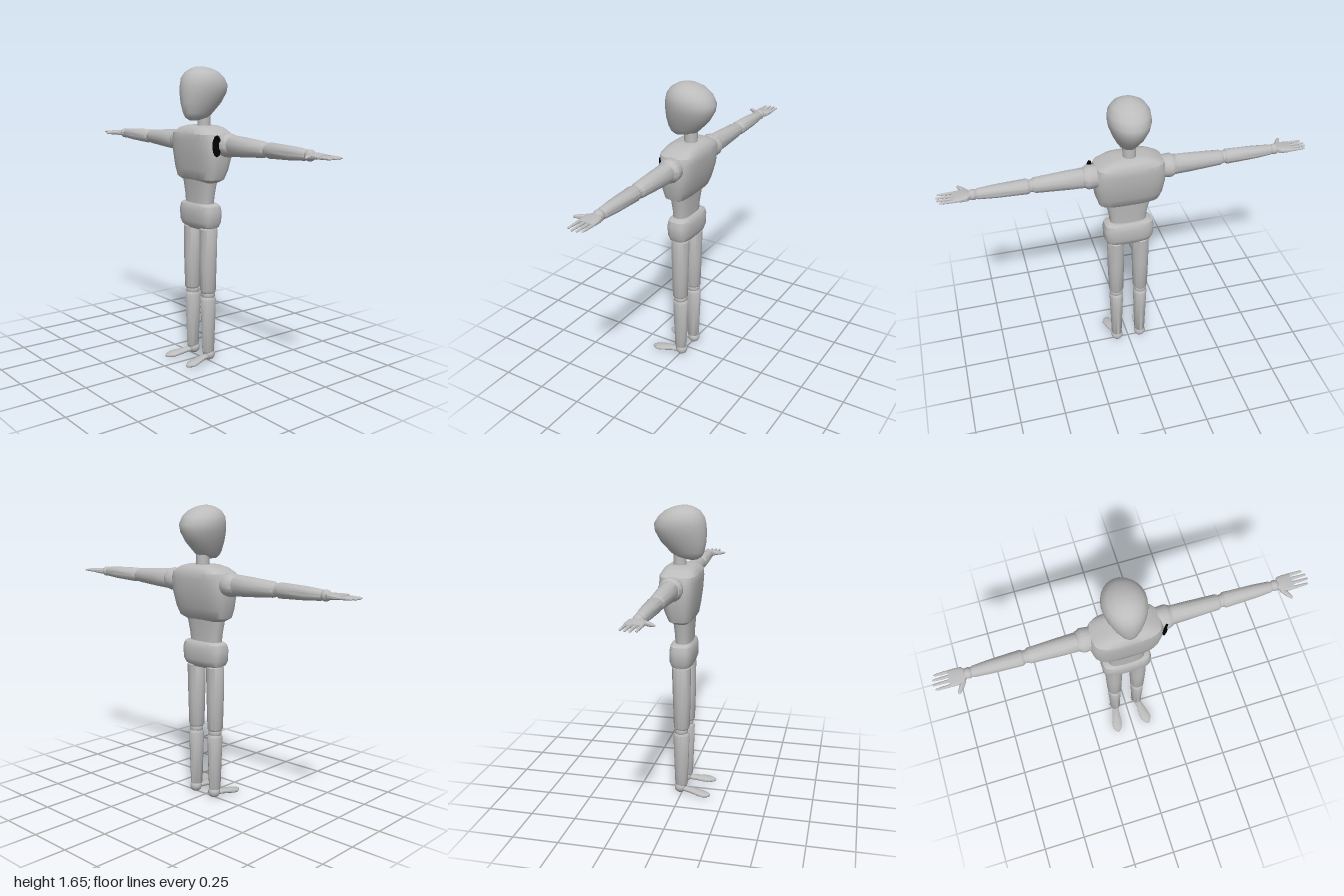
import * as THREE from 'three';
import { toCreasedNormals } from 'three/addons/utils/BufferGeometryUtils.js';

const wood = new THREE.MeshStandardMaterial({ color: 0xbcbcbc });
wood.name = 'plain grey';
const dark = new THREE.MeshStandardMaterial({ color: 0x000000 });
dark.name = 'socket black';

// Closed body along +y through sections [y, centreX, centreZ, radiusX, radiusZ].
// power 1 gives ellipses, smaller values give boxier sections.
function loft(sections, sides = 12, power = 1, crease = 0.6) {
  const pos = [], idx = [];
  const sp = (v) => Math.sign(v) * Math.pow(Math.abs(v), power);
  for (const [y, cx, cz, rx, rz] of sections) {
    for (let j = 0; j < sides; j++) {
      const t = ((j + 0.5) / sides) * Math.PI * 2;
      pos.push(cx + rx * sp(Math.cos(t)), y, cz + rz * sp(Math.sin(t)));
    }
  }
  const last = sections.length - 1;
  const low = pos.length / 3, high = low + 1;
  for (const s of [sections[0], sections[last]]) pos.push(s[1], s[0], s[2]);
  for (let j = 0; j < sides; j++) {
    const k = (j + 1) % sides;
    for (let i = 0; i < last; i++) {
      const a = i * sides + j, b = i * sides + k;
      idx.push(a, a + sides, b, b, a + sides, b + sides);
    }
    idx.push(low, j, k, high, last * sides + k, last * sides + j);
  }
  const g = new THREE.BufferGeometry();
  g.setAttribute('position', new THREE.Float32BufferAttribute(pos, 3));
  g.setIndex(idx);
  return toCreasedNormals(g, crease);
}

function add(parent, name, geometry, x = 0, y = 0, z = 0, material = wood) {
  const mesh = new THREE.Mesh(geometry, material);
  mesh.name = name;
  mesh.position.set(x, y, z);
  parent.add(mesh);
  return mesh;
}

const ball = (r) => new THREE.SphereGeometry(r, 16, 12);

// Arm modelled along +y, then turned outward to side s.
function buildArm(s) {
  const arm = new THREE.Group();
  arm.name = s > 0 ? 'leftArm' : 'rightArm';
  const z = -0.026;
  add(arm, 'shoulderJoint', loft([
    [0.15, 0, z, 0.05, 0.05], [0.185, 0, z, 0.062, 0.062],
    [0.225, 0, z, 0.064, 0.066], [0.25, 0, z, 0.05, 0.054],
  ], 16));
  add(arm, 'upperArm', loft([
    [0.235, 0, z, 0.045, 0.045], [0.25, 0, z, 0.058, 0.05], [0.34, 0, z, 0.053, 0.048],
    [0.5, 0, z, 0.041, 0.042], [0.515, 0, z, 0.033, 0.034],
  ]));
  add(arm, 'elbow', ball(0.034), 0, 0.522, z);
  add(arm, 'forearm', loft([
    [0.527, 0, z, 0.033, 0.034], [0.54, 0, z, 0.041, 0.042],
    [0.7, 0, z, 0.035, 0.037], [0.79, 0, z, 0.028, 0.03], [0.8, 0, z, 0.022, 0.024],
  ]));
  add(arm, 'wrist', ball(0.029), 0, 0.815, z);
  add(arm, 'palm', loft([
    [0.825, 0, z, 0.015, 0.022], [0.845, 0, z + 0.002, 0.016, 0.042],
    [0.88, 0, z + 0.002, 0.013, 0.046], [0.915, 0, z + 0.002, 0.009, 0.046],
  ], 16, 0.6));
  const reach = [0.985, 0.997, 1, 0.99];
  [-0.062, -0.038, -0.013, 0.014].forEach((fz, i) => {
    add(arm, 'finger', loft([
      [0.905, 0, fz, 0.008, 0.0085], [0.95, 0, fz, 0.007, 0.0075],
      [reach[i] - 0.006, 0, fz, 0.005, 0.006], [reach[i], 0, fz, 0.002, 0.003],
    ], 8));
  });
  const thumb = add(arm, 'thumb', loft([
    [0, 0, 0, 0.011, 0.013], [0.035, 0, 0, 0.011, 0.013],
    [0.065, 0, 0, 0.007, 0.008], [0.072, 0, 0, 0.003, 0.004],
  ], 8), 0, 0.845, 0.008);
  thumb.rotation.x = 1.0;
  arm.position.y = 1.24;
  arm.rotation.z = -s * Math.PI / 2;
  return arm;
}

function buildLeg(s) {
  const leg = new THREE.Group();
  leg.name = s > 0 ? 'leftLeg' : 'rightLeg';
  const x = 0.072 * s;
  add(leg, 'hipJoint', ball(0.046), x, 0.78, -0.002);
  add(leg, 'thigh', loft([
    [0.405, x, 0, 0.036, 0.038], [0.415, x, 0, 0.042, 0.045],
    [0.6, x, 0, 0.047, 0.05], [0.77, x, -0.002, 0.048, 0.053], [0.785, x, -0.002, 0.038, 0.042],
  ]));
  add(leg, 'knee', ball(0.038), x, 0.395, -0.002);
  add(leg, 'shin', loft([
    [0.05, x, -0.002, 0.024, 0.028], [0.06, x, -0.002, 0.03, 0.036],
    [0.25, x, -0.002, 0.036, 0.043], [0.37, x, -0.002, 0.04, 0.046], [0.382, x, -0.002, 0.034, 0.038],
  ]));
  add(leg, 'ankle', ball(0.034), x, 0.042, -0.008);
  // Foot: sections run forward, second radius is the height
  const foot = add(leg, 'foot', loft([
    [0, 0.074 * s, -0.034, 0.018, 0.012], [0.05, 0.082 * s, -0.031, 0.023, 0.015],
    [0.105, 0.092 * s, -0.024, 0.033, 0.016], [0.135, 0.097 * s, -0.02, 0.033, 0.015],
    [0.158, 0.099 * s, -0.018, 0.018, 0.012], [0.17, 0.1 * s, -0.017, 0.007, 0.007],
  ], 12));
  foot.rotation.x = Math.PI / 2;
  return leg;
}

export function createModel() {
  const figure = new THREE.Group();
  figure.name = 'jointedFigure';

  // Egg-shaped head leaning back: [y, front z, back z, half width]
  const head = [
    [1.365, 0.07, 0.015, 0.025], [1.38, 0.095, -0.052, 0.045], [1.405, 0.107, -0.08, 0.06],
    [1.457, 0.118, -0.13, 0.085], [1.51, 0.12, -0.16, 0.105], [1.55, 0.117, -0.166, 0.112],
    [1.59, 0.108, -0.142, 0.108], [1.622, 0.085, -0.106, 0.086], [1.642, 0.05, -0.06, 0.052],
    [1.651, 0.018, -0.02, 0.018],
  ].map(([y, f, b, w]) => [y, 0, (f + b) / 2, w, (f - b) / 2]);
  add(figure, 'head', loft(head, 24, 1, 0.9));
  add(figure, 'neck', new THREE.CylinderGeometry(0.036, 0.036, 0.11, 16), 0, 1.345, -0.025);

  // Boxy chest, waist and hips
  add(figure, 'chest', loft([
    [1.03, 0, 0, 0.125, 0.045], [1.05, 0, -0.002, 0.165, 0.066], [1.1, 0, -0.007, 0.182, 0.08],
    [1.18, 0, -0.012, 0.193, 0.096], [1.26, 0, -0.013, 0.195, 0.103], [1.295, 0, -0.013, 0.182, 0.102],
    [1.322, 0, -0.015, 0.135, 0.085], [1.335, 0, -0.018, 0.09, 0.062],
  ], 24, 0.55));
  add(figure, 'waist', loft([
    [0.89, 0, 0.004, 0.1, 0.045], [0.95, 0, 0.003, 0.106, 0.046], [1.05, 0, 0.002, 0.127, 0.054],
  ], 20, 0.7));
  add(figure, 'hips', loft([
    [0.765, 0, -0.002, 0.085, 0.04], [0.782, 0, -0.002, 0.125, 0.057], [0.81, 0, -0.002, 0.138, 0.066],
    [0.87, 0, -0.002, 0.141, 0.067], [0.9, 0, -0.002, 0.133, 0.061], [0.912, 0, -0.002, 0.112, 0.05],
  ], 24, 0.55));

  for (const s of [-1, 1]) figure.add(buildArm(s), buildLeg(s));

  // Dark opening at the front of the left shoulder
  const socket = add(figure, 'shoulderSocket',
    new THREE.CylinderGeometry(0.058, 0.058, 0.006, 12), 0.2, 1.238, 0.042, dark);
  socket.scale.x = 0.42;
  socket.rotation.set(Math.PI / 2, 0, -0.7);
  return figure;
}
